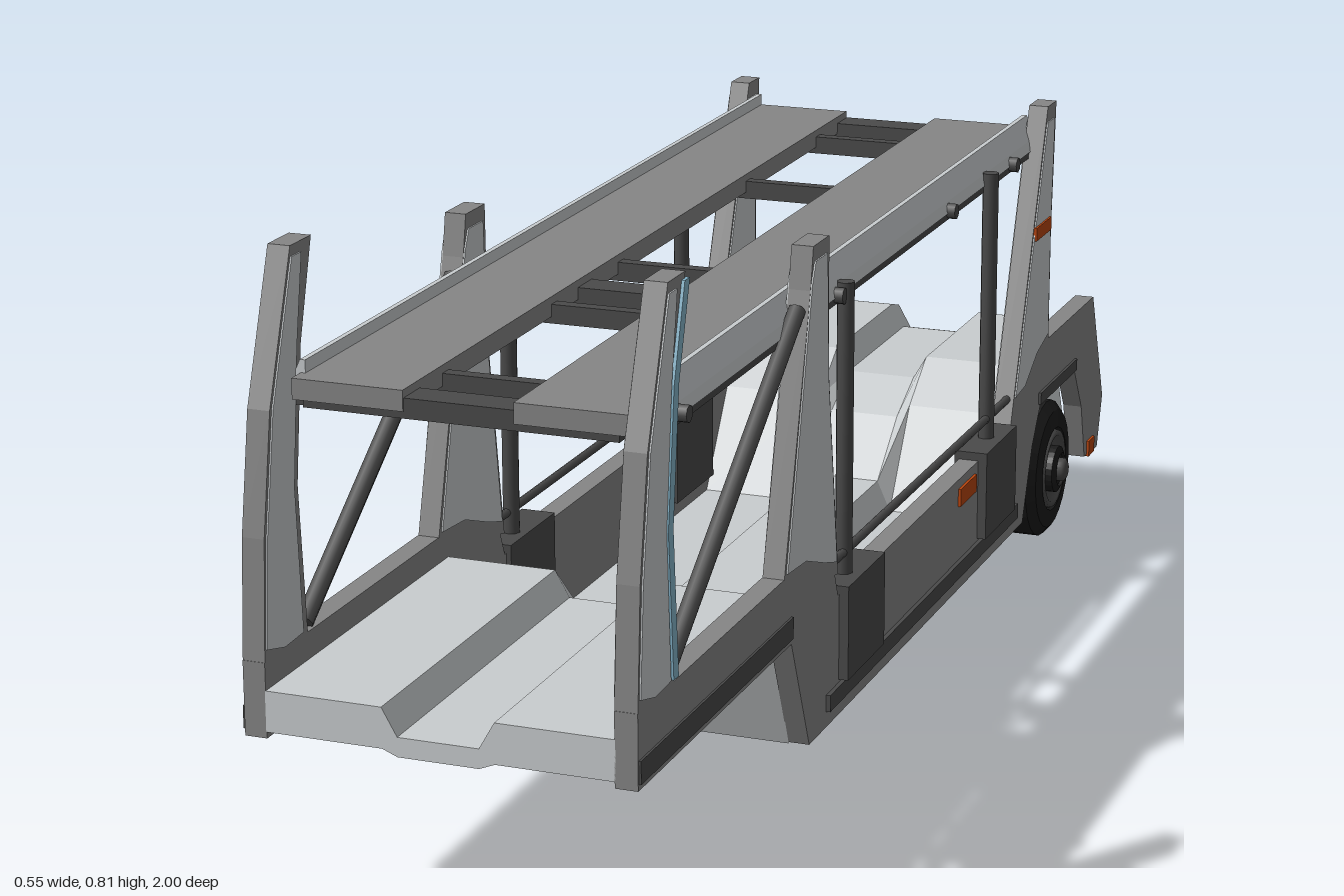
import * as THREE from 'three';

const mat = (name, color, extra = {}) => Object.assign(new THREE.MeshStandardMaterial({ color, ...extra }), { name });

export function createModel() {
  const light = mat('light panel grey', 0xc9cdcf);
  const frame = mat('frame grey', 0x868686);
  const dark = mat('dark steel', 0x4a4a4a);
  const tyre = mat('tyre black', 0x1b1b1b);
  const orange = mat('marker orange', 0xb8450f);
  const blue = mat('strip blue', 0x86b6cc);

  const root = new THREE.Group();
  root.name = 'carCarrierTrailer';
  const body = new THREE.Group();
  body.name = 'body';
  body.position.x = 0.006;
  root.add(body);

  const add = (name, geo, material, parent = body) => {
    const m = new THREE.Mesh(geo, material);
    m.name = name;
    parent.add(m);
    return m;
  };
  // box given by its limits
  const box = (name, material, x0, x1, y0, y1, z0, z1) =>
    add(name, new THREE.BoxGeometry(x1 - x0, y1 - y0, Math.abs(z1 - z0))
      .translate((x0 + x1) / 2, (y0 + y1) / 2, (z0 + z1) / 2), material);
  // box on both sides, limits given for +x
  const boxes = (name, material, x0, x1, ...r) => {
    box(name + 'Left', material, x0, x1, ...r);
    box(name + 'Right', material, -x1, -x0, ...r);
  };
  // (z, y) outline extruded across x, on both sides
  const plates = (name, material, pts, x0, x1) => {
    const shape = new THREE.Shape(pts.map(p => new THREE.Vector2(...p)));
    for (const s of [1, -1]) {
      const g = new THREE.ExtrudeGeometry(shape, { depth: x1 - x0, bevelEnabled: false });
      g.rotateY(-Math.PI / 2).translate(s > 0 ? x1 : -x0, 0, 0);
      add(name + (s > 0 ? 'Left' : 'Right'), g, material);
    }
  };
  // round bar between two (x, y, z) points, on both sides
  const bars = (name, a, b, r) => {
    for (const s of [1, -1]) {
      const A = new THREE.Vector3(a[0] * s, a[1], a[2]), B = new THREE.Vector3(b[0] * s, b[1], b[2]);
      const m = add(name + (s > 0 ? 'Left' : 'Right'), new THREE.CylinderGeometry(r, r, A.distanceTo(B), 8), dark);
      m.position.copy(A).add(B).multiplyScalar(0.5);
      m.quaternion.setFromUnitVectors(new THREE.Vector3(0, 1, 0), B.sub(A).normalize());
    }
  };

  // Lower deck and belly: sections of z, track top, centre top, track bottom, centre bottom
  const sections = [
    [1, 0.295, 0.26, 0.243, 0.235], [0.48, 0.295, 0.26, 0.243, 0.235],
    [0.41, 0.21, 0.2, 0.071, 0.13], [0.33, 0.1, 0.145, 0.071, 0.13],
    [-0.46, 0.1, 0.145, 0.071, 0.13], [-0.55, 0.24, 0.22, 0.071, 0.13],
    [-0.63, 0.295, 0.26, 0.235, 0.235], [-0.83, 0.295, 0.26, 0.235, 0.235],
    [-0.9, 0.295, 0.26, 0.075, 0.1], [-0.935, 0.285, 0.25, 0.073, 0.1],
    [-0.985, 0.155, 0.145, 0.1, 0.105],
  ];
  const xs = [-0.223, -0.072, -0.052, 0.052, 0.072, 0.223];
  const pos = [];
  const quad = (a, b, c, d) => pos.push(...a, ...b, ...c, ...a, ...c, ...d);
  const pt = (s, i, bottom) => [xs[i], s[(bottom ? 3 : 1) + (i === 2 || i === 3 ? 1 : 0)], s[0]];
  for (let i = 0; i < 5; i++) {
    for (let k = 0; k < sections.length - 1; k++) {
      const a = sections[k], b = sections[k + 1];
      quad(pt(a, i), pt(a, i + 1), pt(b, i + 1), pt(b, i));
      quad(pt(b, i, 1), pt(b, i + 1, 1), pt(a, i + 1, 1), pt(a, i, 1));
    }
    const f = sections[0], r = sections[sections.length - 1];
    quad(pt(f, i, 1), pt(f, i + 1, 1), pt(f, i + 1), pt(f, i));
    quad(pt(r, i), pt(r, i + 1), pt(r, i + 1, 1), pt(r, i, 1));
  }
  const deck = new THREE.BufferGeometry();
  deck.setAttribute('position', new THREE.Float32BufferAttribute(pos, 3));
  deck.computeVertexNormals();
  add('lowerDeck', deck, light);

  // Side frames with wheel arch
  const X0 = 0.222, X1 = 0.251;
  plates('sideFrame', frame, [
    [1, 0.235], [1, 0.33], [0.51, 0.33], [0.32, 0.29], [0.3, 0.24], [-0.48, 0.24], [-0.5, 0.29], [-0.66, 0.33],
    [-0.93, 0.33], [-1, 0.15], [-0.975, 0.07], [-0.9, 0.075], [-0.875, 0.165], [-0.83, 0.235],
    [-0.64, 0.235], [-0.6, 0.18], [-0.555, 0.073], [0.41, 0.073], [0.48, 0.235]], X0, X1);
  boxes('frontSkirt', dark, X1 - 0.004, X1 + 0.003, 0.243, 0.272, 0.998, 0.48);
  boxes('sideSkirt', dark, X1 - 0.004, X1 + 0.006, 0.095, 0.118, 0.345, -0.51);
  boxes('archTrim', dark, X1 - 0.004, X1 + 0.004, 0.238, 0.256, -0.63, -0.83);

  // Pillars with light side panels
  const pillar = (name, outline, panel) => {
    plates(name, frame, outline, X0, X1);
    plates(name + 'OuterPanel', light, panel, X1 - 0.003, X1 + 0.002);
    plates(name + 'InnerPanel', light, panel, X0 - 0.002, X0 + 0.003);
  };
  pillar('frontPillar',
    [[1, 0.32], [0.99, 0.48], [0.965, 0.63], [0.9, 0.813], [0.845, 0.813], [0.88, 0.69], [0.9, 0.52], [0.885, 0.32]],
    [[0.995, 0.345], [0.985, 0.48], [0.96, 0.63], [0.9, 0.8], [0.875, 0.8], [0.894, 0.69], [0.912, 0.52], [0.9, 0.335], [0.95, 0.333]]);
  pillar('middlePillar',
    [[0.51, 0.32], [0.415, 0.68], [0.405, 0.735], [0.345, 0.735], [0.342, 0.55], [0.3, 0.27]],
    [[0.5, 0.335], [0.412, 0.69], [0.4, 0.715], [0.355, 0.715], [0.348, 0.55], [0.31, 0.29], [0.36, 0.305], [0.43, 0.33]]);
  pillar('rearPillar',
    [[-0.48, 0.24], [-0.645, 0.695], [-0.69, 0.695], [-0.676, 0.5], [-0.676, 0.32]],
    [[-0.5, 0.285], [-0.641, 0.672], [-0.678, 0.672], [-0.668, 0.5], [-0.668, 0.34], [-0.61, 0.325], [-0.55, 0.29]]);
  // Blue strip along the rear edge of the front pillars
  const edge = [[0.843, 0.805], [0.878, 0.69], [0.898, 0.52], [0.883, 0.335]];
  plates('pillarStrip', blue, [...edge.map(([z, y]) => [z + 0.014, y]), ...edge.slice().reverse().map(([z, y]) => [z - 0.002, y])],
    X0 + 0.006, X1 + 0.004);
  plates('pillarStripSeal', dark, [...edge.map(([z, y]) => [z + 0.003, y]), ...edge.slice().reverse().map(([z, y]) => [z - 0.005, y])],
    X0 + 0.011, X1 - 0.007);

  // Upper deck: two tracks, edge rails and rungs
  boxes('upperTrack', frame, 0.07, 0.213, 0.634, 0.66, 0.925, -0.66);
  for (const s of [1, -1]) {
    const rail = new THREE.Shape([[0.207, 0.63], [0.232, 0.63], [0.228, 0.645], [0.214, 0.676], [0.207, 0.676]]
      .map(([x, y]) => new THREE.Vector2(x * s, y)));
    add(s > 0 ? 'edgeRailLeft' : 'edgeRailRight',
      new THREE.ExtrudeGeometry(rail, { depth: 1.56, bevelEnabled: false }).translate(0, 0, -0.66), light);
  }
  boxes('edgeRailBase', dark, 0.2, 0.23, 0.62, 0.631, 0.9, -0.66);
  for (const [z, w] of [[0.9, 0.045], [0.805, 0.018], [0.475, 0.018], [0.375, 0.045], [0.253, 0.018],
    [-0.23, 0.018], [-0.53, 0.018], [-0.64, 0.045]])
    box('upperRung', dark, -0.2, 0.2, 0.625, 0.65, z + w / 2, z - w / 2);
  for (const z of [0.81, 0.255, -0.225, -0.525]) bars('railKnob', [0.22, 0.632, z], [0.242, 0.632, z], 0.011);

  // Lift posts, braces, hand rails and equipment boxes
  for (const [z, y0] of [[0.24, 0.22], [-0.4, 0.22]]) bars('liftPost', [0.238, y0, z], [0.238, 0.648, z], 0.012);
  bars('frontBrace', [0.235, 0.335, 0.87], [0.235, 0.655, 0.42], 0.012);
  bars('handRail', [0.24, 0.282, 0.32], [0.24, 0.282, -0.5], 0.006);
  for (const z of [0.22, -0.395]) boxes('equipmentBox', dark, 0.215, 0.264, 0.122, 0.252, z + 0.075, z - 0.075);

  // Orange markers
  boxes('sideMarker', orange, X1 - 0.002, X1 + 0.004, 0.2, 0.226, -0.225, -0.302);
  boxes('pillarMarker', orange, X1 - 0.002, X1 + 0.005, 0.504, 0.524, -0.583, -0.66);
  boxes('rearMarker', orange, X1 - 0.002, X1 + 0.004, 0.072, 0.097, -0.913, -0.945);
  box('rearCentreMarker', orange, -0.05, 0.05, 0.11, 0.14, -0.983, -0.99);

  // Wheels and axle
  const lathe = pts => new THREE.LatheGeometry(pts.map(p => new THREE.Vector2(...p)), 24);
  for (const s of [1, -1]) {
    const wheel = new THREE.Group();
    wheel.name = s > 0 ? 'wheelLeft' : 'wheelRight';
    wheel.position.set(0, 0.106, -0.73);
    wheel.rotation.z = -s * Math.PI / 2;
    root.add(wheel);
    tyre.flatShading = true;
    add('tyre', lathe([[0, 0.18], [0.07, 0.18], [0.09, 0.182], [0.106, 0.193], [0.106, 0.241], [0.092, 0.253],
      [0.065, 0.256], [0.06, 0.245], [0, 0.245]]), tyre, wheel);
    add('rim', lathe([[0.062, 0.246], [0.06, 0.257], [0.052, 0.257], [0.046, 0.248], [0, 0.248]]), dark, wheel);
    add('hub', lathe([[0.036, 0.244], [0.036, 0.262], [0.026, 0.267], [0.026, 0.262], [0, 0.262]]), tyre, wheel);
    add('hubCap', lathe([[0.018, 0.26], [0.018, 0.272], [0.012, 0.276], [0, 0.276]]), dark, wheel);
  }
  const axle = add('axle', new THREE.CylinderGeometry(0.02, 0.02, 0.38, 10), dark, root);
  axle.rotation.z = Math.PI / 2;
  axle.position.set(0, 0.106, -0.73);
  return root;
}
